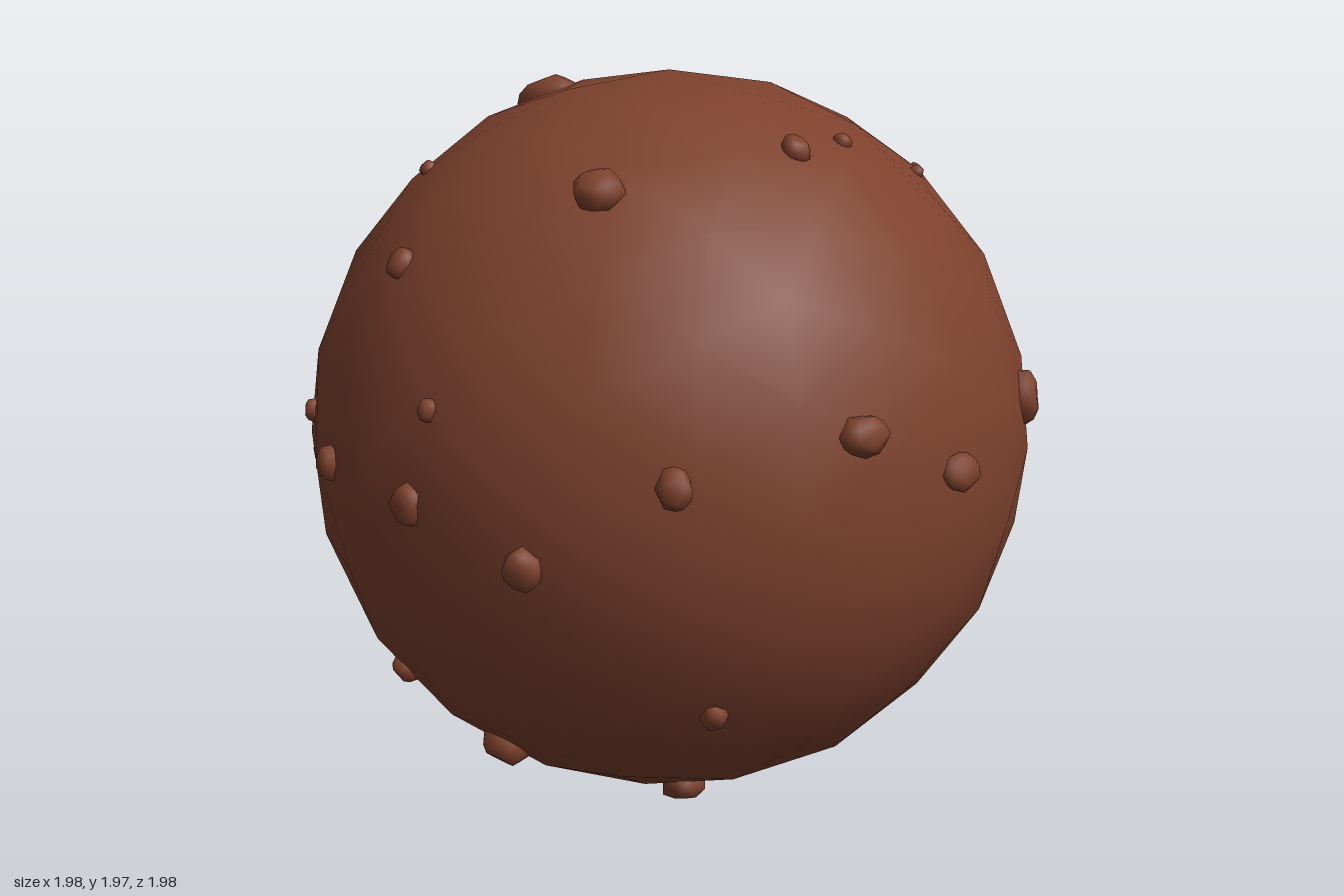
import * as THREE from 'three';
import { mergeVertices } from 'three/addons/utils/BufferGeometryUtils.js';

const RADIUS = 0.983;
const CENTRE = new THREE.Vector3(0, 0.98, 0.01);

// Each rock: two coordinates on the ball, then width and height
const FRONT = [ // x, y
  [-0.36, 1.74, 0.13, 0.12], [0.165, 1.815, 0.075, 0.08], [0.335, 1.815, 0.045, 0.05],
  [-0.79, 1.53, 0.07, 0.08], [-0.805, 1.225, 0.05, 0.06], [-0.855, 0.985, 0.09, 0.11],
  [-0.635, 0.87, 0.1, 0.11], [-0.31, 1.09, 0.09, 0.1], [0.165, 1.185, 0.125, 0.1],
  [0.475, 1.04, 0.13, 0.1], [-0.165, 0.45, 0.07, 0.08],
];
const BACK = [ // x, y
  [0.68, 0.97, 0.16, 0.12], [0.52, 1.07, 0.08, 0.075], [0.34, 1.05, 0.075, 0.12],
  [0.17, 1.01, 0.11, 0.08], [0.33, 0.83, 0.12, 0.17], [-0.2, 1.26, 0.11, 0.13],
  [-0.5, 1.47, 0.06, 0.06], [-0.04, 1.14, 0.03, 0.03], [-0.39, 0.95, 0.08, 0.13],
  [-0.58, 0.92, 0.15, 0.09], [-0.46, 1.09, 0.03, 0.03], [0.17, 0.35, 0.09, 0.1],
];
const RIGHT = [ // z, y
  [0.51, 1.12, 0.11, 0.16], [0.25, 1.7, 0.04, 0.04], [0.16, 1.69, 0.045, 0.04],
  [0.1, 1.26, 0.02, 0.02], [0.235, 1.16, 0.03, 0.03], [0.06, 1.125, 0.02, 0.02],
  [-0.38, 1.14, 0.05, 0.045], [-0.185, 1.025, 0.08, 0.07], [-0.66, 1.56, 0.02, 0.025],
  [-0.575, 1.72, 0.02, 0.025],
];
const LEFT = [ // z, y
  [-0.43, 0.88, 0.13, 0.1], [-0.16, 1.07, 0.05, 0.06], [0.12, 1.0, 0.08, 0.1],
  [-0.1, 1.72, 0.05, 0.05], [0.06, 0.38, 0.08, 0.08],
];
const TOP = [[-0.27, -0.24, 0.11, 0.17]]; // x, z
const UNDER = [ // x, z
  [-0.55, 0.25, 0.13, 0.13], [0.56, 0.06, 0.14, 0.13], [-0.07, 0.33, 0.12, 0.15],
  [-0.34, -0.41, 0.12, 0.1], [-0.16, -0.27, 0.025, 0.025], [-0.31, -0.25, 0.025, 0.025],
  [-0.12, 0.1, 0.08, 0.06],
];

function seeded(seed) {
  let s = seed * 7919 + 17;
  return () => (s = (s * 16807) % 2147483647) / 2147483647;
}

// Remaining coordinate of a point on the ball
const rest = (a, b) => Math.sqrt(Math.max(0.0004, RADIUS * RADIUS - a * a - b * b));

// Chunky boulder: a jittered, slightly boxy ball
function rockGeometry(seed) {
  const rand = seeded(seed);
  for (let i = 0; i < 5; i++) rand();
  let geo = new THREE.IcosahedronGeometry(1, 1);
  geo.deleteAttribute('normal');
  geo.deleteAttribute('uv');
  geo = mergeVertices(geo, 1e-4);
  const p = geo.attributes.position;
  const v = new THREE.Vector3();
  for (let i = 0; i < p.count; i++) {
    v.fromBufferAttribute(p, i).multiplyScalar(0.86 + rand() * 0.24);
    v.z = THREE.MathUtils.clamp(v.z * 1.3, -1, 0.95);
    p.setXYZ(i, v.x, v.y, v.z);
  }
  geo.computeVertexNormals();
  return geo;
}

export function createModel() {
  const model = new THREE.Group();
  model.name = 'rockyPlanet';
  const clay = new THREE.MeshStandardMaterial({ color: 0x7d412d });
  clay.name = 'redBrownRock';

  // Main ball
  let ballGeo = new THREE.IcosahedronGeometry(RADIUS, 3);
  ballGeo.deleteAttribute('normal');
  ballGeo.deleteAttribute('uv');
  ballGeo = mergeVertices(ballGeo, 1e-4);
  ballGeo.computeVertexNormals();
  const ball = new THREE.Mesh(ballGeo, clay);
  ball.name = 'planetBody';
  ball.position.copy(CENTRE);
  model.add(ball);

  // Scattered rocks, half sunk in the ball and facing outwards
  const rocks = new THREE.Group();
  rocks.name = 'surfaceRocks';
  model.add(rocks);
  let count = 0;
  const scatter = (list, locate) => {
    for (const [a, b, w, h] of list) {
      const dir = locate(a, b).normalize();
      const rock = new THREE.Mesh(rockGeometry(++count), clay);
      rock.name = 'rock' + count;
      rock.position.copy(CENTRE).addScaledVector(dir, RADIUS - 0.012);
      rock.lookAt(rock.position.clone().add(dir));
      rock.scale.set(w * 0.52, h * 0.52, Math.min(w, h) * 0.32 + 0.008);
      rocks.add(rock);
    }
  };
  const cy = CENTRE.y;
  const cz = CENTRE.z;
  scatter(FRONT, (x, y) => new THREE.Vector3(x, y - cy, rest(x, y - cy)));
  scatter(BACK, (x, y) => new THREE.Vector3(x, y - cy, -rest(x, y - cy)));
  scatter(RIGHT, (z, y) => new THREE.Vector3(rest(z - cz, y - cy), y - cy, z - cz));
  scatter(LEFT, (z, y) => new THREE.Vector3(-rest(z - cz, y - cy), y - cy, z - cz));
  scatter(TOP, (x, z) => new THREE.Vector3(x, rest(x, z - cz), z - cz));
  scatter(UNDER, (x, z) => new THREE.Vector3(x, -rest(x, z - cz), z - cz));

  return model;
}
